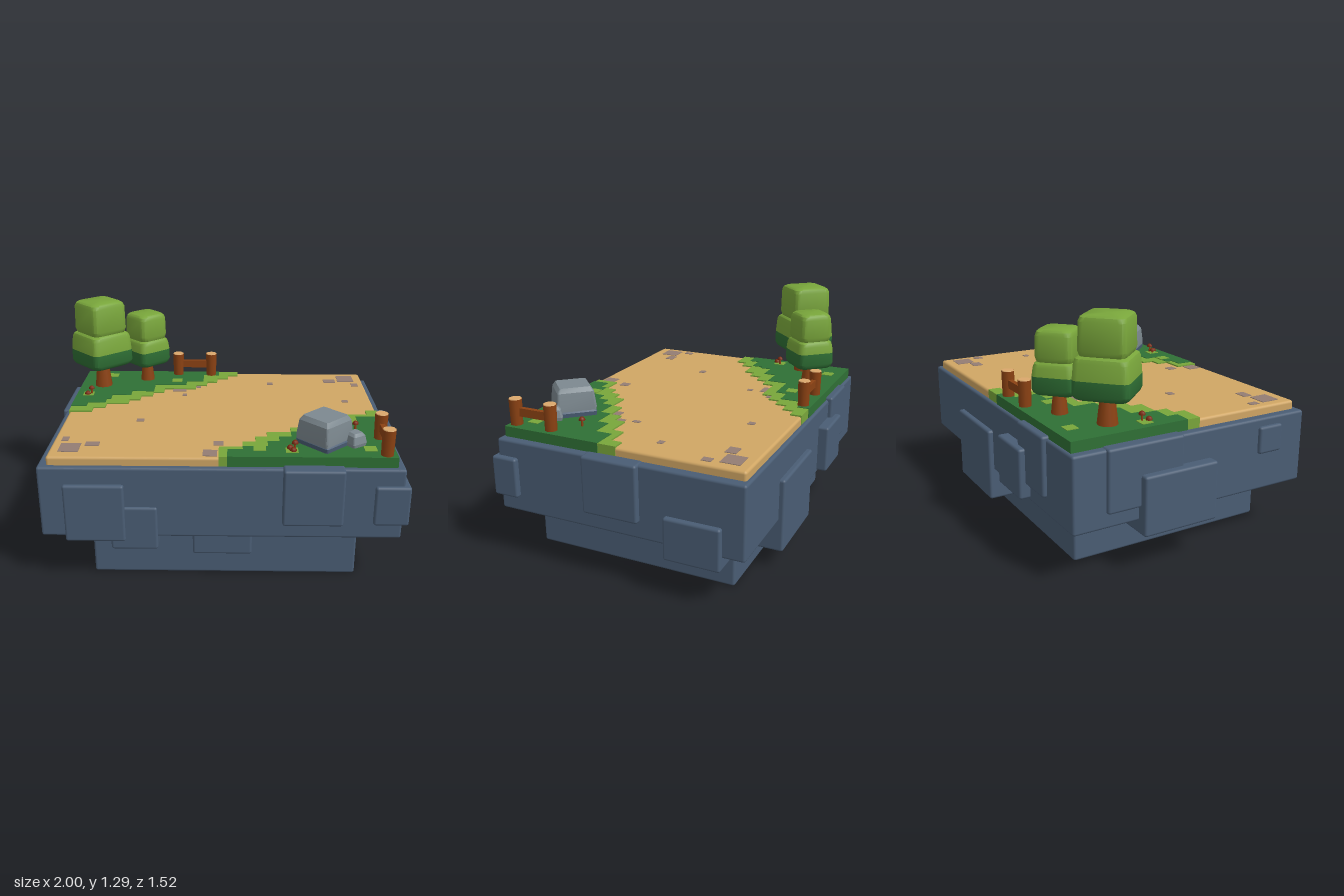
import * as THREE from 'three';
import { toCreasedNormals } from 'three/addons/utils/BufferGeometryUtils.js';
import { RoundedBoxGeometry } from 'three/addons/geometries/RoundedBoxGeometry.js';

const paint = (name, color) => Object.assign(new THREE.MeshStandardMaterial({ color }), { name });
const slate = paint('slate', 0x4a5d74);
const sand = paint('sand', 0xd0a664);
const grass = paint('grass', 0x2f7035);
const leaf = paint('leaf', 0x79a63b);
const bark = paint('bark', 0x8c4213);
const cutWood = paint('cut wood', 0xdba86c);
const stone = paint('stone', 0x7d8990);
const pebble = paint('pebble', 0x937d73);
const cap = paint('mushroom cap', 0x7a2a10);

function add(parent, name, geometry, material, x = 0, y = 0, z = 0, turn = 0) {
  const mesh = new THREE.Mesh(geometry, material);
  mesh.name = name;
  mesh.position.set(x, y, z);
  mesh.rotation.y = turn;
  parent.add(mesh);
  return mesh;
}

// Softly bevelled block given by its limits on each axis
function block(parent, name, material, x0, x1, y0, y1, z0, z1, bevel = 0.014) {
  const geo = new RoundedBoxGeometry(x1 - x0, y1 - y0, z1 - z0, 2, bevel);
  return add(parent, name, geo, material, (x0 + x1) / 2, (y0 + y1) / 2, (z0 + z1) / 2);
}

// Skin over stacked rounded squares, each ring being [height, half width]
function loft(rings, corner, crease = 0.6) {
  const pos = [], index = [], steps = 4, n = 4 * steps;
  for (const [y, half] of rings) {
    const r = Math.min(corner, half);
    for (let k = 0; k < n; k++) {
      const quarter = Math.floor(k / steps);
      const mid = (quarter + 0.5) * Math.PI / 2;
      const a = (quarter + (k % steps) / (steps - 1)) * Math.PI / 2;
      pos.push(Math.sign(Math.cos(mid)) * (half - r) + r * Math.cos(a), y,
        Math.sign(Math.sin(mid)) * (half - r) + r * Math.sin(a));
    }
  }
  for (let i = 0; i < rings.length - 1; i++) {
    for (let k = 0; k < n; k++) {
      const a = i * n + k, b = i * n + (k + 1) % n;
      index.push(a, a + n, b, b, a + n, b + n);
    }
  }
  const geo = new THREE.BufferGeometry();
  geo.setAttribute('position', new THREE.Float32BufferAttribute(pos, 3));
  geo.setIndex(index);
  return toCreasedNormals(geo, crease);
}

// Corner turf with a stepped inner border; steps alternate x and z
function turf(parent, name, material, edgeX, edgeZ, top, steps) {
  const points = [[edgeX, edgeZ], [steps[0], edgeZ]];
  for (let i = 0; i < steps.length - 1; i++) {
    points.push(i % 2 ? [steps[i + 1], steps[i]] : [steps[i], steps[i + 1]]);
  }
  points.push([edgeX, steps[steps.length - 1]]);
  const shape = new THREE.Shape(points.map(([x, z]) => new THREE.Vector2(x, -z)));
  const geo = new THREE.ExtrudeGeometry(shape, { depth: top - 0.685, bevelEnabled: false });
  add(parent, name, geo.rotateX(-Math.PI / 2), material, 0, 0.685, 0);
}

function tree(parent, x, z, base, split, waist, top, wide, narrow, trunk) {
  const g = new THREE.Group();
  g.name = 'tree';
  g.position.set(x, 0, z);
  parent.add(g);
  add(g, 'trunk', new THREE.CylinderGeometry(trunk * 0.6, trunk, base - 0.69, 10), bark, 0, (base + 0.74) / 2, 0);
  const turn = 0.75, r = 0.035;
  add(g, 'lowerCrownShade', loft([[base, 0], [base, wide * 0.85], [base + 0.01, wide * 0.94],
    [base + 0.03, wide], [split, wide * 0.99]], r), grass, 0, 0, 0, turn);
  add(g, 'lowerCrown', loft([[split, wide * 0.99], [waist - 0.03, wide * 0.95],
    [waist - 0.01, wide * 0.9], [waist, wide * 0.8], [waist, 0]], r), leaf, 0, 0, 0, turn);
  add(g, 'upperCrown', loft([[waist - 0.01, 0], [waist - 0.01, narrow * 0.85], [waist, narrow * 0.94],
    [waist + 0.025, narrow], [top - 0.03, narrow * 0.98], [top - 0.01, narrow * 0.92],
    [top, narrow * 0.8], [top, 0]], r), leaf, 0, 0, 0, turn);
}

function fence(parent, x, z, turn) {
  const g = new THREE.Group();
  g.name = 'fence';
  g.position.set(x, 0, z);
  g.rotation.y = turn;
  parent.add(g);
  for (const side of [-1, 1]) {
    add(g, 'post', new THREE.CylinderGeometry(0.036, 0.033, 0.15, 10), bark, side * 0.109, 0.808, 0);
    add(g, 'postTop', new THREE.CylinderGeometry(0.033, 0.035, 0.004, 10), cutWood, side * 0.109, 0.885, 0);
  }
  add(g, 'rail', new THREE.BoxGeometry(0.2, 0.046, 0.026), bark, 0, 0.815, 0);
}

function mushroom(parent, x, z, top) {
  add(parent, 'mushroomStem', new THREE.CylinderGeometry(0.005, 0.007, top - 0.75, 6), bark, x, (top + 0.73) / 2, z);
  add(parent, 'mushroomCap', new THREE.SphereGeometry(0.018, 8, 4, 0, Math.PI * 2, 0, Math.PI / 2).scale(1, 1.1, 1), cap, x, top - 0.02, z);
  add(parent, 'mushroomUnderside', new THREE.CircleGeometry(0.018, 8).rotateX(Math.PI / 2), cap, x, top - 0.02, z);
}

export function createModel() {
  const model = new THREE.Group();
  model.name = 'islandDiorama';

  // Rock foundation and the slabs sticking out of it
  block(model, 'foundation', slate, -0.94, 0.965, 0.283, 0.684, -0.7, 0.71);
  block(model, 'lowerFoundation', slate, -0.687, 0.751, 0, 0.32, -0.563, 0.608);
  const slabs = [
    [-0.81, -0.49, 0.262, 0.59, 0.5, 0.733], [-0.57, -0.32, 0.21, 0.46, 0.5, 0.722],
    [0.333, 0.65, 0.378, 0.695, 0.5, 0.76], [0.81, 0.995, 0.37, 0.592, 0.583, 0.732],
    [-0.14, 0.18, 0.144, 0.4, 0.4, 0.656], [0.7, 0.995, 0.375, 0.688, -0.137, 0.178],
    [0.7, 0.993, 0.213, 0.445, -0.582, -0.275], [-0.47, -0.19, 0.3, 0.575, -0.76, -0.45],
    [-0.67, -0.375, 0.38, 0.7, -0.725, -0.45], [0.02, 0.495, 0.106, 0.52, -0.73, -0.4],
    [-0.96, -0.7, 0.36, 0.69, -0.52, -0.085], [-1, -0.6, 0.213, 0.53, -0.337, 0.098],
    [-0.96, -0.7, 0.49, 0.64, 0.4, 0.55],
  ];
  for (const s of slabs) block(model, 'rockSlab', slate, ...s);

  // Sandy ground and the two turf corners
  block(model, 'sandGround', sand, -0.893, 0.918, 0.67, 0.731, -0.68, 0.68, 0.015);
  turf(model, 'backTurfEdge', leaf, -0.895, -0.682, 0.739, [0.104, -0.615, 0.04, -0.55, -0.03, -0.483,
    -0.094, -0.417, -0.163, -0.353, -0.36, -0.283, -0.425, -0.22, -0.495, -0.15, -0.56, -0.086,
    -0.69, -0.016, -0.76, 0.048]);
  turf(model, 'backTurf', grass, -0.898, -0.685, 0.742, [-0.02, -0.615, -0.12, -0.483, -0.227, -0.417,
    -0.425, -0.294, -0.56, -0.22, -0.675, -0.15, -0.7, -0.086, -0.805, -0.027]);
  turf(model, 'frontTurfEdge', leaf, 0.92, 0.682, 0.739, [0, 0.55, 0.126, 0.483, 0.195, 0.417,
    0.26, 0.348, 0.393, 0.283, 0.52, 0.214, 0.59, 0.15, 0.725, 0.08, 0.853, 0.016]);
  turf(model, 'frontTurf', grass, 0.923, 0.685, 0.742, [0.045, 0.588, 0.126, 0.55, 0.26, 0.483, 0.324, 0.417,
    0.393, 0.348, 0.52, 0.283, 0.655, 0.214, 0.783, 0.118]);

  // Flat turf tufts and stone tiles: x, z, width, depth
  const tufts = [[-0.72, -0.595], [-0.29, -0.497], [-0.825, -0.235], [0.382, 0.602], [0.794, 0.578], [0.215, 0.578]];
  for (const [x, z] of tufts) add(model, 'grassTuft', new THREE.BoxGeometry(0.065, 0.006, 0.065), leaf, x, 0.742, z);
  const tiles = [
    [0.81, -0.572, 0.105, 0.105], [0.703, -0.524, 0.075, 0.06], [0.858, -0.455, 0.043, 0.053],
    [0.313, -0.47, 0.037, 0.037], [-0.265, -0.335, 0.085, 0.043], [-0.147, -0.4, 0.03, 0.03],
    [-0.227, -0.251, 0.027, 0.032], [0.757, -0.155, 0.037, 0.032], [-0.457, 0.171, 0.043, 0.037],
    [0.548, 0.102, 0.027, 0.043], [0.57, 0.187, 0.043, 0.043], [0.479, 0.257, 0.055, 0.043],
    [-0.832, 0.449, 0.037, 0.053], [-0.789, 0.561, 0.107, 0.107], [-0.676, 0.513, 0.075, 0.053],
    [-0.003, 0.492, 0.053, 0.053], [-0.045, 0.62, 0.075, 0.075],
  ];
  for (const [x, z, w, d] of tiles) add(model, 'groundTile', new THREE.BoxGeometry(w, 0.006, d), pebble, x, 0.731, z);

  // Trees: base, colour split, waist and top heights, half widths, trunk radius
  tree(model, -0.757, -0.408, 0.887, 0.985, 1.098, 1.292, 0.145, 0.122, 0.057);
  tree(model, -0.487, -0.532, 0.858, 0.953, 1.025, 1.185, 0.115, 0.1, 0.048);

  // Fences
  fence(model, -0.181, -0.635, 0);
  fence(model, 0.868, 0.538, Math.PI / 2);

  // Boulder with a darker foot, and a small stone beside it
  const boulder = add(model, 'boulder', loft([[0.73, 0], [0.73, 0.105], [0.79, 0.11], [0.875, 0.1],
    [0.9, 0.085], [0.9, 0]], 0.012, 0.25), stone, 0.567, 0, 0.487, 0.76);
  boulder.rotation.z = 0.01;
  add(model, 'boulderFoot', loft([[0.73, 0], [0.73, 0.108], [0.765, 0.112], [0.775, 0.105], [0.775, 0]],
    0.012, 0.25), slate, 0.564, 0, 0.492, 0.76);
  add(model, 'smallStone', loft([[0.73, 0], [0.73, 0.042], [0.76, 0.048], [0.8, 0.04],
    [0.815, 0.028], [0.815, 0]], 0.01, 0.25), stone, 0.718, 0, 0.517, 0.6);

  // Mushrooms: x, z, top height
  const mushrooms = [[-0.806, -0.24, 0.795], [-0.827, -0.212, 0.77], [0.372, 0.602, 0.775],
    [0.397, 0.597, 0.8], [0.388, 0.622, 0.77], [0.751, 0.315, 0.795]];
  for (const m of mushrooms) mushroom(model, ...m);

  return model;
}
